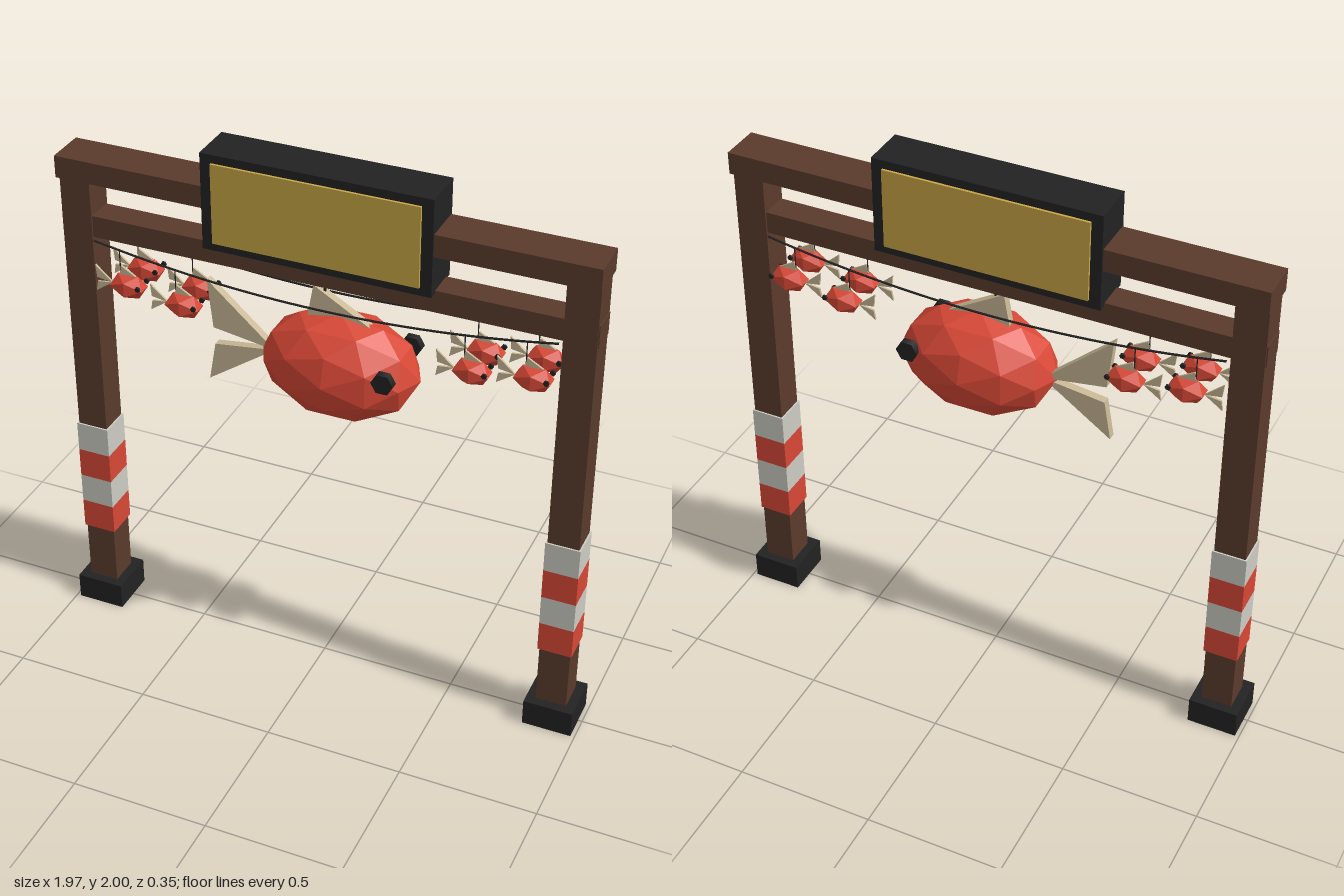
import * as THREE from 'three';

const mat = (name, color, opts = {}) => {
  const m = new THREE.MeshStandardMaterial({ color, ...opts });
  m.name = name;
  return m;
};

export function createModel() {
  const wood = mat('brown wood', 0x5a3b2c);
  const black = mat('black', 0x222222);
  const red = mat('red', 0xd84836, { flatShading: true });
  const white = mat('off white', 0xcdcdc5);
  const gold = mat('gold', 0xc9a646);
  const tan = mat('tan fin', 0xc9b896);

  const model = new THREE.Group();
  model.name = 'fishGate';

  const add = (parent, name, geo, material, x = 0, y = 0, z = 0) => {
    const mesh = new THREE.Mesh(geo, material);
    mesh.name = name;
    mesh.position.set(x, y, z);
    parent.add(mesh);
    return mesh;
  };
  const box = (name, w, h, d, material, x, y, z) =>
    add(model, name, new THREE.BoxGeometry(w, h, d), material, x, y, z);

  // Posts with footings and striped bands
  for (const side of [-1, 1]) {
    const x = side * 0.895;
    box('footing', 0.18, 0.1, 0.18, black, x, 0.05, 0);
    box('post', 0.112, 1.72, 0.112, wood, x, 0.95, 0);
    for (let i = 0; i < 4; i++) {
      box('stripe', 0.124, 0.115, 0.124, i % 2 ? white : red, x, 0.3875 + i * 0.115, 0);
    }
  }

  // Cross beams
  box('topBeam', 1.91, 0.08, 0.15, wood, 0, 1.835, 0);
  box('lowerBeam', 1.91, 0.08, 0.1, wood, 0, 1.62, 0);

  // Sign box with a panel on both faces
  box('signBox', 0.81, 0.35, 0.164, black, 0, 1.825, 0);
  for (const side of [-1, 1]) {
    box('signPanel', 0.73, 0.29, 0.009, gold, 0, 1.825, side * 0.0865);
  }

  // Thin triangular fin centred on z = 0
  const fin = (points) => {
    const shape = new THREE.Shape(points.map(([x, y]) => new THREE.Vector2(x, y)));
    const geo = new THREE.ExtrudeGeometry(shape, { depth: 0.03, bevelEnabled: false });
    return geo.translate(0, 0, -0.015);
  };

  // Faceted fish facing +x, centred on its body
  const fish = (name, detail, scale, x, y, z) => {
    const g = new THREE.Group();
    g.name = name;
    const body = new THREE.IcosahedronGeometry(1, detail).scale(0.288, 0.196, 0.177);
    add(g, 'body', body, red);
    for (const side of [-1, 1]) {
      const tail = side > 0
        ? [[-0.24, 0.0], [-0.47, 0.035], [-0.49, 0.22]]
        : [[-0.24, 0.0], [-0.49, -0.175], [-0.465, -0.03]];
      add(g, 'tailFin', fin(tail), tan);
      const eye = new THREE.CylinderGeometry(0.04, 0.04, 0.028, 6);
      eye.rotateY(Math.PI / 6).rotateX(Math.PI / 2);
      add(g, 'eye', eye, black, 0.205, 0.05, side * 0.13);
    }
    add(g, 'dorsalFin', fin([[-0.12, 0.15], [0.12, 0.165], [-0.095, 0.29]]), tan);
    g.scale.setScalar(scale);
    g.position.set(x, y, z);
    model.add(g);
  };

  const hanger = (x, bottom, top, z, r) =>
    add(model, 'hanger', new THREE.CylinderGeometry(r, r, top - bottom, 6),
      black, x, (top + bottom) / 2, z);

  // Large fish under the lower beam
  fish('largeFish', 1, 1, 0.06, 1.27, 0);
  hanger(0, 1.44, 1.6, 0, 0.005);

  // Sagging cords, front and back, each with four small fish
  const sag = (x) => 1.5 + 0.075 * (x / 0.83) ** 2;
  for (const z of [-0.064, 0.064]) {
    const points = [];
    for (let i = 0; i <= 12; i++) {
      const x = -0.83 + (1.66 * i) / 12;
      points.push(new THREE.Vector3(x, sag(x), z));
    }
    const path = new THREE.CatmullRomCurve3(points);
    add(model, 'cord', new THREE.TubeGeometry(path, 32, 0.004, 5), black);
    for (const [x, y] of [[-0.705, 1.427], [-0.495, 1.4], [0.547, 1.4], [0.755, 1.427]]) {
      fish('smallFish', 0, 0.255, x, y, z);
      hanger(x - 0.028, y + 0.03, sag(x - 0.028), z, 0.002);
    }
  }

  return model;
}
